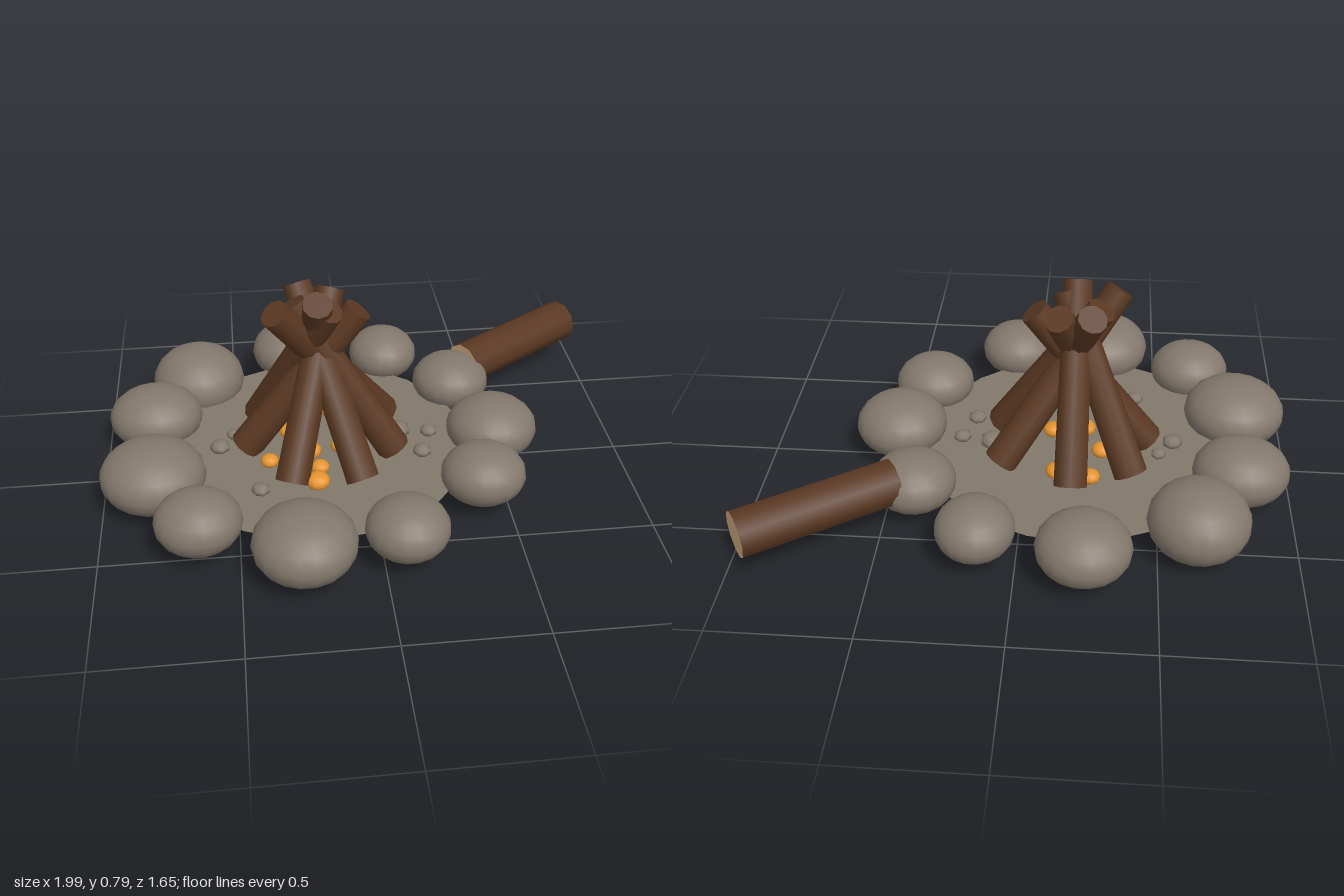
import * as THREE from 'three';

const mat = (name, color, side = THREE.FrontSide) => {
  const m = new THREE.MeshStandardMaterial({ color, side });
  m.name = name;
  return m;
};

export function createModel() {
  const stone = mat('stone grey', 0x83786c);
  const ash = mat('ash grey', 0x82786b, THREE.DoubleSide);
  const bark = mat('bark brown', 0x5a3822);
  const cutWood = mat('cut wood', 0xd0aa7c);
  const glow = mat('ember orange', 0xe6942f);

  const model = new THREE.Group();
  model.name = 'campfire';
  const group = (name) => {
    const g = new THREE.Group();
    g.name = name;
    model.add(g);
    return g;
  };

  // Flattened ball for stones, pebbles and embers
  const blob = (parent, name, geo, material, [x, y, z], [rx, ry, rz]) => {
    const m = new THREE.Mesh(geo, material);
    m.name = name;
    m.position.set(x, y, z);
    m.scale.set(rx, ry, rz);
    parent.add(m);
  };

  // Round log between two points, with its own bark and end materials
  const log = (parent, name, from, to, rFrom, rTo, endMaterial) => {
    const a = new THREE.Vector3(...from), b = new THREE.Vector3(...to);
    const dir = b.clone().sub(a);
    const geo = new THREE.CylinderGeometry(rTo, rFrom, dir.length(), 10);
    const m = new THREE.Mesh(geo, [bark, endMaterial, endMaterial]);
    m.name = name;
    m.position.copy(a).add(b).multiplyScalar(0.5);
    m.quaternion.setFromUnitVectors(new THREE.Vector3(0, 1, 0), dir.normalize());
    parent.add(m);
  };

  // Ash bed
  const bed = new THREE.Mesh(new THREE.CircleGeometry(0.585, 24), ash);
  bed.name = 'ashBed';
  bed.rotation.x = -Math.PI / 2;
  bed.position.set(-0.19, 0.108, -0.01);
  model.add(bed);

  // Ring of stones: x, z, rx, ry, rz
  const ring = group('stoneRing');
  const stoneGeo = new THREE.SphereGeometry(1, 18, 12);
  [
    [-0.24, -0.665, 0.17, 0.118, 0.167],
    [0.14, -0.595, 0.142, 0.105, 0.15],
    [0.39, -0.345, 0.155, 0.108, 0.153],
    [0.49, 0.01, 0.175, 0.118, 0.17],
    [0.40, 0.31, 0.157, 0.11, 0.15],
    [0.08, 0.59, 0.15, 0.108, 0.15],
    [-0.28, 0.63, 0.185, 0.126, 0.19],
    [-0.64, 0.475, 0.157, 0.112, 0.148],
    [-0.805, 0.185, 0.195, 0.128, 0.188],
    [-0.805, -0.205, 0.18, 0.12, 0.162],
    [-0.64, -0.485, 0.185, 0.14, 0.187],
  ].forEach(([x, z, rx, ry, rz]) =>
    blob(ring, 'stone', stoneGeo, stone, [x, x === -0.64 && z < 0 ? 0.14 : 0.15, z], [rx, ry, rz]));

  // Leaning firewood: base x, z then top x, y, z
  const stack = group('firewoodStack');
  [
    [-0.18, -0.31, -0.18, 0.765, 0.09],
    [0.09, -0.18, -0.335, 0.735, 0.08],
    [0.10, 0.08, -0.27, 0.71, -0.03],
    [-0.04, 0.265, -0.24, 0.735, -0.14],
    [-0.30, 0.255, -0.12, 0.72, -0.12],
    [-0.46, 0, -0.025, 0.685, -0.01],
    [-0.40, -0.22, -0.14, 0.73, 0.07],
  ].forEach(([x, z, tx, ty, tz]) =>
    log(stack, 'firewood', [x, 0.125, z], [tx, ty, tz], 0.064, 0.055, bark));

  // Seat log lying beside the ring
  log(model, 'lyingLog', [0.455, 0.183, -0.4], [0.945, 0.183, -0.727], 0.087, 0.087, cutWood);

  // Embers under the firewood: x, z, radius
  const embers = group('embers');
  const emberGeo = new THREE.SphereGeometry(1, 10, 7);
  [
    [-0.25, -0.245, 0.038], [-0.125, -0.22, 0.042], [-0.375, 0.11, 0.035],
    [-0.205, 0.255, 0.046], [-0.19, 0.17, 0.036], [-0.29, -0.08, 0.04],
    [-0.1, 0.04, 0.04], [-0.22, 0.06, 0.045],
  ].forEach(([x, z, r]) => blob(embers, 'ember', emberGeo, glow, [x, 0.124, z], [r, r * 0.7, r]));

  // Loose pebbles on the ash: x, z, radius
  const pebbles = group('pebbles');
  const pebbleGeo = new THREE.SphereGeometry(1, 7, 5);
  [
    [-0.505, -0.085, 0.03], [-0.56, -0.005, 0.04], [-0.415, 0.28, 0.036],
    [0.13, -0.045, 0.05], [0.25, -0.025, 0.035], [0.205, 0.105, 0.037],
  ].forEach(([x, z, r]) => blob(pebbles, 'pebble', pebbleGeo, stone, [x, 0.122, z], [r, r * 0.65, r]));

  return model;
}
